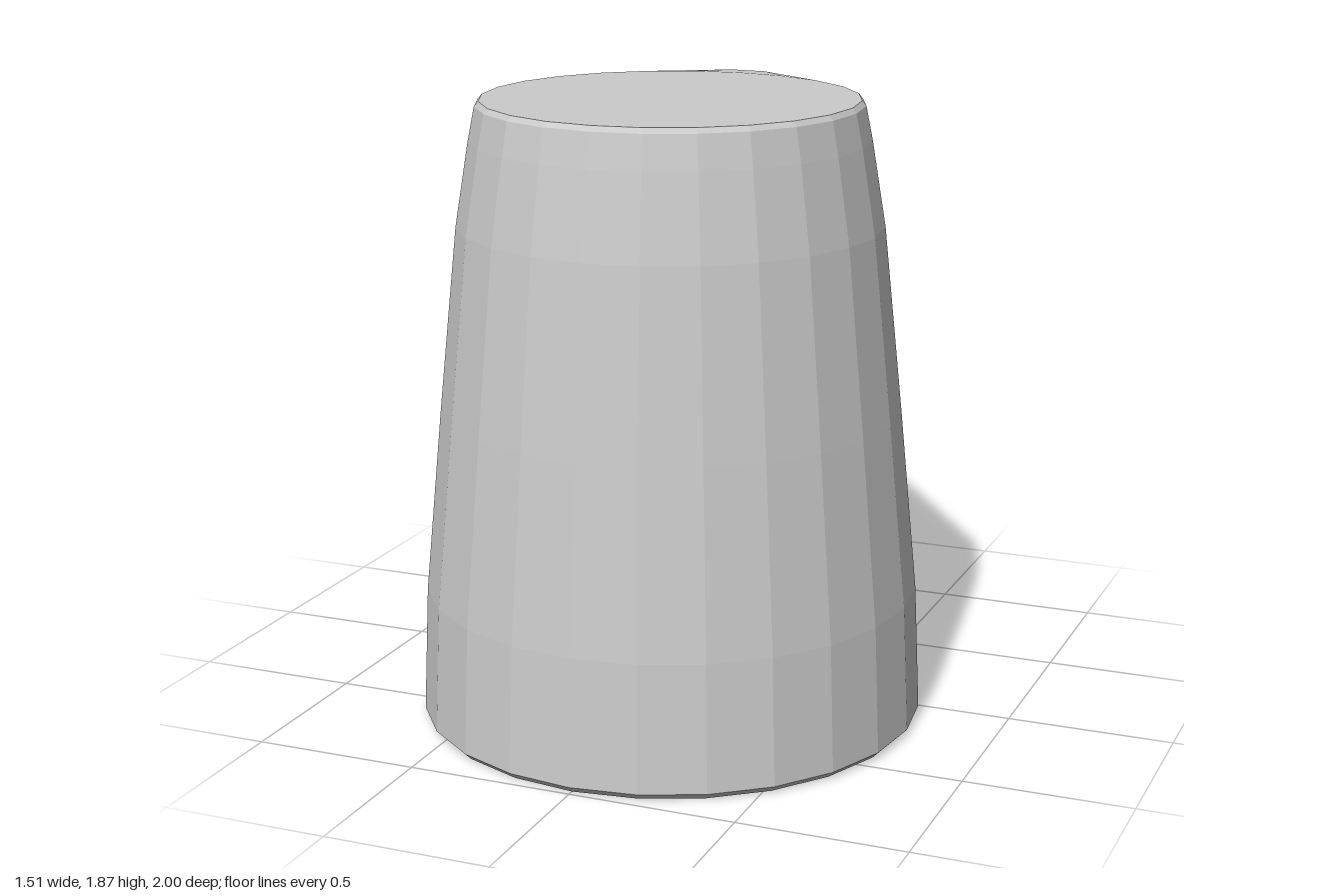
import * as THREE from 'three';
import { ConvexGeometry } from 'three/addons/geometries/ConvexGeometry.js';

export function createModel() {
  const group = new THREE.Group();
  const points = [];

  // Tapered cup body: rings of [radius, height]
  const cupZ = 0.245, sides = 24;
  const rings = [
    [0.735, 0], [0.755, 0.02], [0.738, 0.4], [0.685, 0.95],
    [0.628, 1.5], [0.587, 1.75], [0.567, 1.85], [0.555, 1.865],
  ];
  for (const [r, y] of rings) {
    for (let i = 0; i < sides; i++) {
      const a = (i / sides) * Math.PI * 2;
      points.push(new THREE.Vector3(r * Math.sin(a), y, cupZ + r * Math.cos(a)));
    }
  }

  // Outer curve of the handle: [z, y], a narrow band slightly off centre
  const handle = [
    [-0.3, 1.862], [-0.5, 1.845], [-0.63, 1.805], [-0.77, 1.73], [-0.88, 1.62],
    [-0.97, 1.43], [-1, 1.32], [-1, 1.11], [-0.965, 0.99],
  ];
  for (const [z, y] of handle) {
    for (const x of [-0.1, 0.008]) points.push(new THREE.Vector3(x, y, z));
    // small bevel on the band's outer side
    points.push(new THREE.Vector3(-0.12, y - 0.005, z + 0.02));
  }

  // Solid shell wrapped tightly around cup and handle
  const shell = new THREE.Mesh(
    new ConvexGeometry(points),
    new THREE.MeshStandardMaterial({ color: 0xcccccc, flatShading: true })
  );
  shell.name = 'mugShell';
  group.add(shell);
  return group;
}
